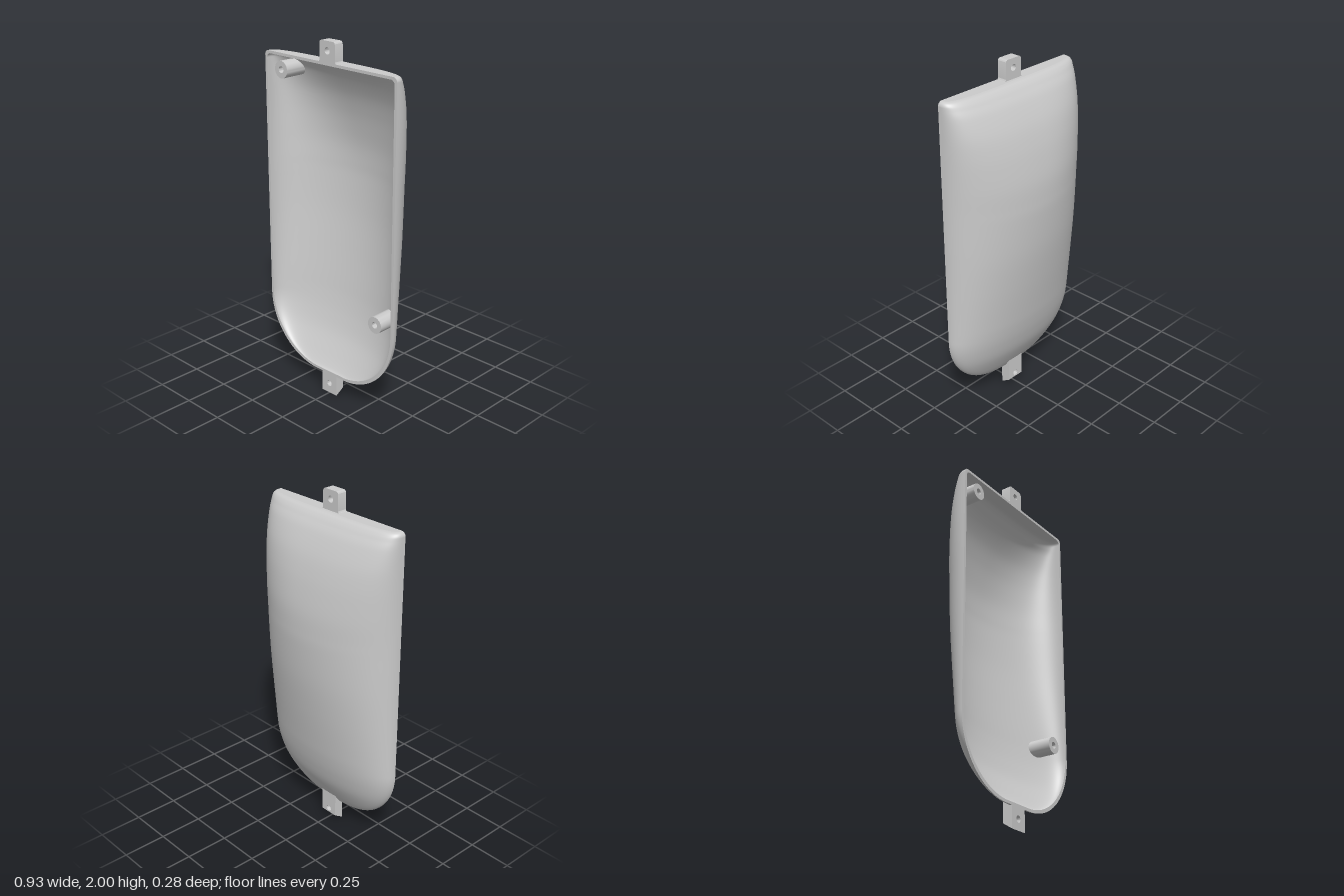
import * as THREE from 'three';
import { toCreasedNormals } from 'three/addons/utils/BufferGeometryUtils.js';

const RIM = 0.14;      // z of the open rim plane
const WALL = 0.015;    // shell thickness
const COLS = 64;
const Y0 = 0.12, Y1 = 1.89;

const material = new THREE.MeshStandardMaterial({ color: 0xcccccc });

// Spine profile: depth behind the rim against height
const spine = new THREE.SplineCurve([
  [0.012, 0.12], [0.03, 0.133], [0.07, 0.198], [0.122, 0.3], [0.156, 0.4], [0.181, 0.5],
  [0.2, 0.6], [0.234, 0.8], [0.262, 1.0], [0.278, 1.2], [0.28, 1.3], [0.276, 1.4],
  [0.262, 1.5], [0.241, 1.6], [0.21, 1.7], [0.163, 1.8], [0.128, 1.85], [0.109, 1.872],
  [0.092, 1.885], [0.072, 1.89],
].map(([d, y]) => new THREE.Vector2(d, y)));

// Half width: rounded lower corners, small fillet at the top
function halfWidth(y) {
  let w = 0.467;
  if (y < 0.49) w = 0.1 + 0.367 * Math.sqrt(Math.max(0, 1 - ((0.49 - y) / 0.37) ** 2));
  const r = 0.025, dy = Math.min(r, y - (Y1 - r));
  if (dy > 0) w -= r - Math.sqrt(r * r - dy * dy);
  return w;
}

// Cross-section goes from elliptical to boxier towards the top
const power = (y) => 2 + 1.3 * Math.max(0, (y - 1.2) / 0.69) ** 2;

const outerRows = spine.getPoints(190).map((p) => {
  const y = THREE.MathUtils.clamp(p.y, Y0, Y1);
  return { y, d: p.x, w: halfWidth(y), p: power(y) };
});
const mid = (Y0 + Y1) / 2, shrink = 1 - (2 * WALL) / (Y1 - Y0);
const innerRows = outerRows.map((r) => ({
  y: mid + (r.y - mid) * shrink,
  d: Math.max(0.001, r.d - WALL),
  w: r.w - WALL,
  p: r.p,
}));

// Depth of the outer surface at a point
function depthAt(x, y) {
  const r = outerRows.find((row) => row.y >= y);
  return r.d * Math.max(0, 1 - Math.abs(x / r.w) ** r.p) ** (1 / r.p);
}

function makeGeometry(pos, index, flip) {
  if (flip) index.reverse();
  const g = new THREE.BufferGeometry();
  g.setAttribute('position', new THREE.Float32BufferAttribute(pos, 3));
  g.setIndex(index);
  g.computeVertexNormals();
  return g;
}

function rowPoint(r, j) {
  const a = (j / COLS) * Math.PI, c = Math.cos(a), s = Math.max(0, Math.sin(a));
  return [
    r.w * Math.sign(c) * Math.abs(c) ** (2 / r.p),
    r.y,
    RIM - r.d * s ** (2 / r.p),
  ];
}

// Lofted skin through the rows
function skin(rows, flip) {
  const pos = [], index = [], n = COLS + 1;
  rows.forEach((r, i) => {
    for (let j = 0; j <= COLS; j++) {
      pos.push(...rowPoint(r, j));
      if (i < rows.length - 1 && j < COLS) {
        const a = i * n + j, c = a + n;
        index.push(a, a + 1, c, a + 1, c + 1, c);
      }
    }
  });
  return makeGeometry(pos, index, flip);
}

// Flat end face closing a row against the rim plane
function endFace(row, flip) {
  const pos = [0, row.y, RIM], index = [];
  for (let j = 0; j <= COLS; j++) {
    pos.push(...rowPoint(row, j));
    if (j < COLS) index.push(0, j + 1, j + 2);
  }
  return makeGeometry(pos, index, flip);
}

function outline(rows) {
  const right = rows.map((r) => new THREE.Vector2(r.w, r.y));
  const left = rows.map((r) => new THREE.Vector2(-r.w, r.y)).reverse();
  return [...right, ...left];
}

// Screw post with a blind hole, its back following the shell
function bossGeometry(x, y) {
  const profile = [[0.047, 0], [0.047, 0.1], [0.018, 0.1], [0.018, 0.03], [0, 0.03]]
    .map(([r, h]) => new THREE.Vector2(r, h));
  const g = new THREE.LatheGeometry(profile, 32);
  g.rotateX(Math.PI / 2);
  g.translate(x, y, RIM - 0.1);
  const p = g.attributes.position;
  for (let i = 0; i < p.count; i++) {
    if (p.getZ(i) < RIM - 0.09) p.setZ(i, RIM - depthAt(p.getX(i), p.getY(i)) + 0.008);
  }
  return toCreasedNormals(g, 0.6);
}

// Mounting tab plate with a screw hole
function tabGeometry(shape, holeY) {
  const hole = new THREE.Path();
  hole.absarc(0, holeY, 0.018, 0, Math.PI * 2, true);
  shape.holes.push(hole);
  const g = new THREE.ExtrudeGeometry(shape, { depth: 0.055, bevelEnabled: false, curveSegments: 16 });
  g.translate(0, 0, RIM - 0.055);
  return g;
}

function topTab() {
  const w = 0.055, r = 0.016, f = 0.012, s = new THREE.Shape();
  s.moveTo(-w - f, Y1 - 0.002);
  s.lineTo(w + f, Y1 - 0.002);
  s.quadraticCurveTo(w, Y1, w, Y1 + f);
  s.lineTo(w, 2 - r);
  s.absarc(w - r, 2 - r, r, 0, Math.PI / 2, false);
  s.lineTo(-w + r, 2);
  s.absarc(-w + r, 2 - r, r, Math.PI / 2, Math.PI, false);
  s.lineTo(-w, Y1 + f);
  s.quadraticCurveTo(-w, Y1, -w - f, Y1 - 0.002);
  return toCreasedNormals(tabGeometry(s, 1.95), 0.6);
}

function bottomTab() {
  const w = 0.055, top = 0.132, s = new THREE.Shape();
  s.moveTo(-w, 0);
  s.lineTo(w, 0);
  s.lineTo(w, top);
  s.lineTo(-w, top);
  s.closePath();
  const g = tabGeometry(s, 0.06);
  // Back edges: chamfer below, run up into the shell above
  const p = g.attributes.position;
  for (let i = 0; i < p.count; i++) {
    if (p.getZ(i) > RIM - 0.03) continue;
    if (p.getY(i) < 0.001) p.setY(i, 0.035);
    else if (p.getY(i) > top - 0.001) p.setY(i, 0.18);
  }
  return toCreasedNormals(g, 0.6);
}

export function createModel() {
  const model = new THREE.Group();
  model.name = 'shellCover';
  const add = (name, geometry) => {
    const mesh = new THREE.Mesh(geometry, material);
    mesh.name = name;
    model.add(mesh);
  };

  // Shell skins and end faces
  [['outer', outerRows, false], ['inner', innerRows, true]].forEach(([side, rows, flip]) => {
    add(side + 'Shell', skin(rows, flip));
    add(side + 'TopFace', endFace(rows[rows.length - 1], flip));
    add(side + 'BottomFace', endFace(rows[0], !flip));
  });

  // Rim between the two skins
  const rim = new THREE.Shape(outline(outerRows));
  rim.holes.push(new THREE.Path(outline(innerRows)));
  const rimGeometry = new THREE.ShapeGeometry(rim);
  rimGeometry.translate(0, 0, RIM);
  add('rim', rimGeometry);

  add('upperScrewBoss', bossGeometry(-0.345, 1.8));
  add('lowerScrewBoss', bossGeometry(0.34, 0.545));
  add('topTab', topTab());
  add('bottomTab', bottomTab());
  return model;
}
